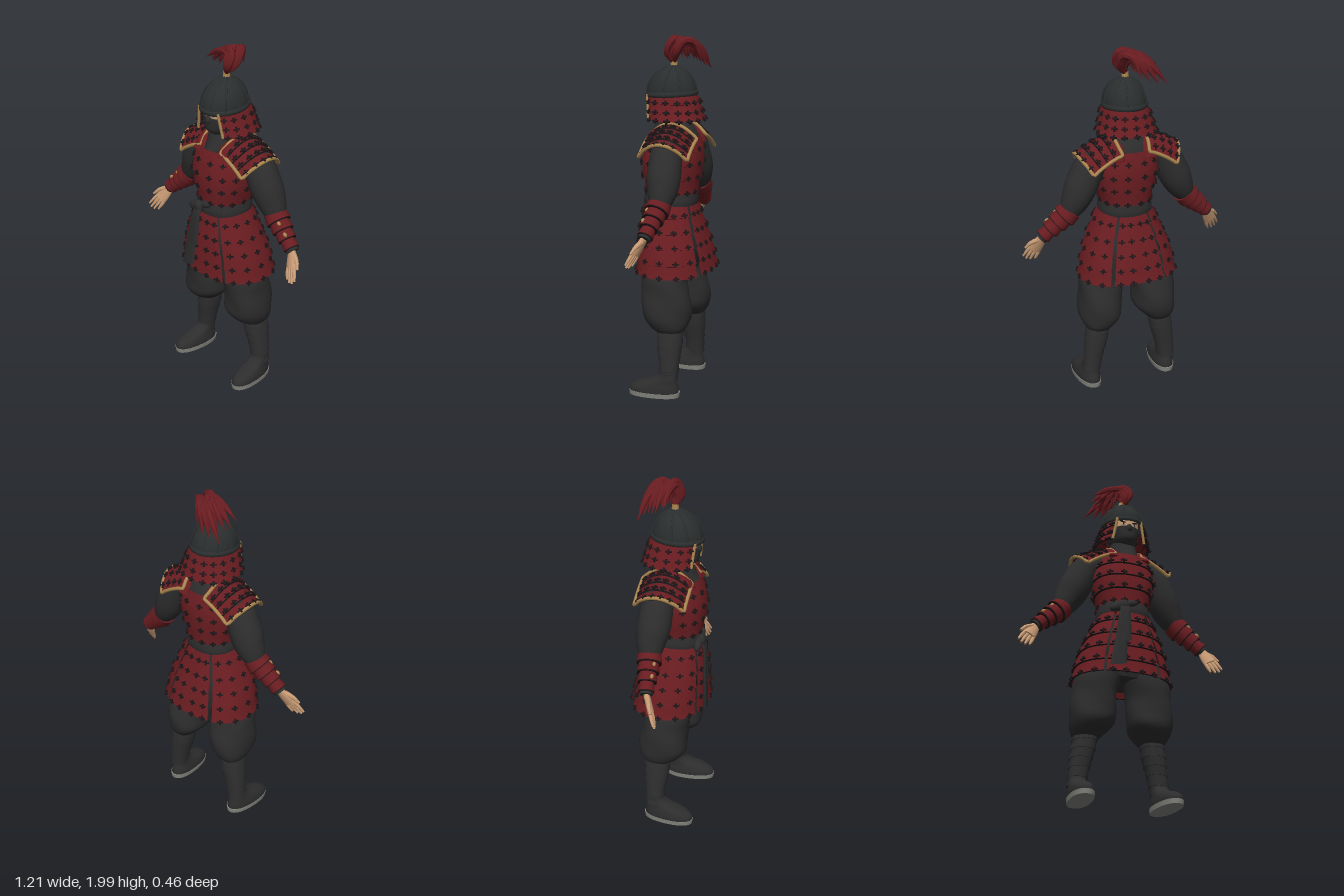
import * as THREE from 'three';
import { toCreasedNormals, mergeGeometries } from 'three/addons/utils/BufferGeometryUtils.js';

const V = (x, y, z) => new THREE.Vector3(x, y, z);
const clamp = THREE.MathUtils.clamp, lerp = THREE.MathUtils.lerp, TAU = Math.PI * 2, DEG = Math.PI / 180;

// Grid surface from a rule f(u, v) -> Vector3
function surf(f, nu, nv, crease = 0.75) {
  const pos = [], idx = [], w = nu + 1;
  for (let j = 0; j <= nv; j++) for (let i = 0; i <= nu; i++) pos.push(...f(i / nu, j / nv).toArray());
  for (let j = 0; j < nv; j++) for (let i = 0; i < nu; i++) {
    const p = j * w + i;
    idx.push(p, p + 1, p + w + 1, p, p + w + 1, p + w);
  }
  const g = new THREE.BufferGeometry();
  g.setAttribute('position', new THREE.Float32BufferAttribute(pos, 3));
  g.setIndex(idx);
  g.scale(100, 100, 100);
  return toCreasedNormals(g, crease).scale(0.01, 0.01, 0.01);
}

// Smooth interpolation through rows of [y, cx, cz, rx, rz]
function sample(rows, t) {
  const n = rows.length - 1, i = Math.min(Math.floor(t * n), n - 1), f = t * n - i;
  return rows[i].map((_, k) => {
    const [a, b, c, d] = [-1, 0, 1, 2].map(j => rows[clamp(i + j, 0, n)][k]);
    return b + 0.5 * f * (c - a + f * (2 * a - 5 * b + 4 * c - d + f * (3 * (b - c) + d - a)));
  });
}
// Point on a rounded cross-section; angle 0 is the front, 90 degrees is +x
function ring([y, cx, cz, rx, rz], a, lift = 0, e = 0.88) {
  const s = Math.sin(a), c = Math.cos(a);
  return V(cx + Math.sign(s) * Math.abs(s) ** e * (rx + lift), y, cz + Math.sign(c) * Math.abs(c) ** e * (rz + lift));
}
// Closed solid through rows, with optional cloth folds
function loft(rows, nv = 16, fold = 0, nu = 28) {
  return surf((u, v) => {
    const t = clamp((v * (nv + 2) - 1) / nv, 0, 1), r = sample(rows, t);
    const k = v === 0 || v === 1 ? 0 : 1 + fold * Math.sin(3 * u * TAU + r[0] * 22) * Math.sin(t * Math.PI);
    r[3] *= k; r[4] *= k;
    return ring(r, u * TAU);
  }, nu, nv + 2);
}
// Tapered tube along points; flat squashes one axis
function tube(pts, radii, nv = 14, nu = 10, flat = 1) {
  const curve = new THREE.CatmullRomCurve3(pts), fr = curve.computeFrenetFrames(nv);
  const rr = radii.map(r => [r]);
  return surf((u, v) => {
    const j = clamp(Math.round(v * (nv + 2)) - 1, 0, nv), t = j / nv;
    const r = v === 0 || v === 1 ? 0 : Math.max(0, sample(rr, t)[0]);
    return curve.getPointAt(t).addScaledVector(fr.normals[j], r * Math.cos(u * TAU))
      .addScaledVector(fr.binormals[j], r * flat * Math.sin(u * TAU));
  }, nu, nv + 2);
}

export function createModel() {
  const mat = (name, color) => Object.assign(new THREE.MeshStandardMaterial({ color, side: THREE.DoubleSide }), { name });
  const red = mat('red lacquer', 0x681c20), cloth = mat('black cloth', 0x2d2d2e), cord = mat('dark cord', 0x1d1517),
    gold = mat('gold trim', 0xa8854f), skin = mat('skin', 0xc79a74), sole = mat('grey sole', 0x85857f),
    iron = mat('dark iron', 0x2b2e2e), white = mat('eye white', 0xd8d2c8);
  const root = new THREE.Group(), body = new THREE.Group();
  body.name = 'warrior'; body.position.x = 0.02; root.add(body);
  const add = (name, geo, m) => { const o = new THREE.Mesh(geo, m); o.name = name; body.add(o); return o; };

  // Overlapping laced plates: P(u, v, lift), v runs from the lower edge up
  function plates(name, P, n, knots, nu = 24, lift = 0.012) {
    const shells = [], dark = [];
    for (let r = 0; r < n; r++) {
      shells.push(surf((u, w) => P(u, (r + w) / n, lift * (1 - w)), nu, 3));
      dark.push(surf((u, w) => P(u, (r - 0.06 * (1 - w)) / n, lift * w - 0.002), nu, 1));
      for (let k = 0; k < knots; k++) {
        const u = (k + 0.5) / knots, v = (r + 0.14) / n, p = P(u, v, lift);
        const tu = P(u + 0.01, v, lift).sub(p).normalize(), tv = P(u, v + 0.02, lift * 0.9).sub(p);
        const nn = tu.clone().cross(tv).normalize();
        const m = new THREE.Matrix4().makeBasis(tu, nn.clone().cross(tu), nn).setPosition(p);
        for (const [w, h] of [[0.036, 0.008], [0.01, 0.028]]) {
          const b = new THREE.BoxGeometry(w, h, 0.011).toNonIndexed().applyMatrix4(m);
          b.deleteAttribute('uv');
          dark.push(b);
        }
      }
    }
    add(name, mergeGeometries(shells), red);
    add(name + 'Lacing', mergeGeometries(dark), cord);
  }
  const arc = (rows, a0, a1) => (u, v, l) => ring(sample(rows, clamp(v, 0, 1)), lerp(a0, a1, u) * DEG, l);

  // Underclothes, collar
  add('undershirt', loft([[0.7, 0, 0, 0.17, 0.12], [0.85, 0, 0.01, 0.2, 0.15], [1, 0, 0.03, 0.16, 0.13],
    [1.12, 0, 0.025, 0.13, 0.12], [1.26, 0, 0.02, 0.155, 0.14], [1.4, 0, 0.01, 0.155, 0.135],
    [1.47, 0, 0, 0.12, 0.105], [1.53, 0, 0.01, 0.075, 0.08], [1.6, 0, 0.02, 0.06, 0.065]], 30), cloth);
  add('neckScarf', loft([[1.42, 0, 0.05, 0.06, 0.11], [1.47, 0, 0.03, 0.085, 0.1], [1.52, 0, 0.025, 0.078, 0.088],
    [1.56, 0, 0.03, 0.065, 0.075]], 10, 0.03), cloth);

  // Chest armour and hip skirt panels
  plates('chestArmour', arc([[1.13, 0, 0.025, 0.132, 0.135], [1.24, 0, 0.025, 0.162, 0.155], [1.34, 0, 0.018, 0.172, 0.16],
    [1.44, 0, 0.012, 0.135, 0.14]], 0, 360), 4, 14, 40);
  const hip = [[0.69, 0, 0, 0.275, 0.202], [0.82, 0, 0.01, 0.248, 0.188], [0.95, 0, 0.025, 0.2, 0.165], [1.08, 0, 0.03, 0.14, 0.135]];
  const back = [[0.7, 0, 0, 0.28, 0.21], [0.82, 0, 0.005, 0.25, 0.19], [0.95, 0, 0.02, 0.2, 0.165], [1.08, 0, 0.03, 0.14, 0.135]];
  plates('frontSkirtPanel', arc(hip, -29, 29), 5, 4, 14);
  plates('backSkirtPanel', arc(back, 152, 208), 5, 4, 14);
  for (const s of [1, -1]) plates('sideSkirtPanel', arc(hip, s > 0 ? 33 : 213, s > 0 ? 147 : 327), 5, 5, 20);

  // Belt, knot and hanging ends
  add('belt', loft([[1.06, 0, 0.03, 0.148, 0.145], [1.085, 0, 0.03, 0.15, 0.148], [1.12, 0, 0.03, 0.144, 0.143],
    [1.15, 0, 0.03, 0.138, 0.138]], 8), cloth);
  const blob = (name, x, y, z, a, b, c, m, rot = 0) => {
    const o = add(name, new THREE.SphereGeometry(1, 16, 10), m);
    o.position.set(x, y, z); o.scale.set(a, b, c); o.rotation.z = rot;
  };
  blob('beltKnot', -0.045, 1.095, 0.178, 0.034, 0.034, 0.027, cloth);
  blob('beltLoop', -0.085, 1.085, 0.172, 0.048, 0.027, 0.022, cloth, 0.5);
  blob('beltLoop', -0.005, 1.115, 0.17, 0.045, 0.022, 0.02, cloth, 0.3);
  for (const [x0, x1, y1, w, z1] of [[-0.05, -0.095, 0.72, 0.047, 0.222], [-0.035, -0.055, 0.86, 0.036, 0.218]])
    add('beltEnd', surf((u, v) => {
      const t = 1 - v, a = u * TAU, c = Math.cos(a);
      return V(lerp(x0, x1, t) + c * lerp(0.02, w, t), lerp(1.09, y1, t) + 0.01 * c * t,
        lerp(0.19, z1, Math.sqrt(t)) + 0.008 * Math.sin(a));
    }, 12, 10), cloth);

  // Head and face
  add('face', loft([[1.58, 0, 0.035, 0.075, 0.1], [1.64, 0, 0.035, 0.083, 0.108], [1.7, 0, 0.03, 0.085, 0.108]], 8), skin);
  add('mask', loft([[1.52, 0, 0.04, 0.045, 0.07], [1.55, 0, 0.045, 0.066, 0.1], [1.59, 0, 0.04, 0.08, 0.112],
    [1.625, 0, 0.037, 0.086, 0.117]], 10), cloth);
  blob('noseCover', 0, 1.615, 0.148, 0.018, 0.024, 0.016, cloth);
  for (const s of [1, -1]) {
    blob('eye', 0.033 * s, 1.641, 0.137, 0.014, 0.006, 0.006, white);
    blob('pupil', 0.033 * s, 1.641, 0.142, 0.005, 0.005, 0.003, cord);
    blob('eyebrow', 0.035 * s, 1.655, 0.138, 0.02, 0.004, 0.006, cord, 0.2 * s);
  }

  // Helmet bowl, rim, ribs and neck guard
  const dome = [[1.665, 0, 0.028, 0.118, 0.14], [1.71, 0, 0.028, 0.114, 0.134], [1.76, 0, 0.026, 0.096, 0.11],
    [1.8, 0, 0.02, 0.062, 0.07], [1.825, 0, 0.015, 0.02, 0.02]];
  add('helmetBowl', surf((u, v) => ring(sample(dome, v), u * TAU, 0, 1), 36, 16), iron);
  add('helmetRim', surf((u, v) => {
    const a = u * TAU, p = ring([1.672 - 0.008 * Math.cos(a), 0, 0.028, 0.119, 0.141], a, 0.007 * Math.sin(v * TAU), 1);
    p.y += 0.014 * Math.cos(v * TAU);
    return p;
  }, 40, 8), iron);
  for (let i = 0; i < 10; i++)
    add('helmetRib', tube([0, 0.25, 0.5, 0.75, 1].map(t => ring(sample(dome, t), (i + 0.5) / 10 * TAU, 0, 1)), [0.006, 0.005], 12, 6), iron);
  const guard = [[1.535, 0, 0, 0.152, 0.146], [1.6, 0, 0.012, 0.132, 0.14], [1.67, 0, 0.024, 0.112, 0.134]];
  const guardP = arc(guard, 34, 326);
  plates('neckGuard', guardP, 3, 13, 36);
  for (const u of [0, 1])
    add('neckGuardTrim', tube([0, 0.33, 0.66, 1].map(v => guardP(u, v, 0.008)), [0.008, 0.008], 8, 8), gold);

  // Plume
  add('plumeTie', new THREE.CylinderGeometry(0.017, 0.021, 0.034, 16).translate(0, 1.835, 0.015), gold);
  for (let i = 0; i < 22; i++) {
    const t = i / 21, j = Math.sin(i * 5.3), k = Math.cos(i * 3.7);
    const end = V(lerp(-0.175, -0.02, t) + 0.018 * j, lerp(1.79, 1.86, t) + 0.045 * (k + 1) * (1 - t), -0.075 + 0.075 * k);
    add('plumeStrand', tube([V(0.004 * j, 1.84, 0.015 + 0.004 * k), V(0.025 + 0.022 * j, 1.895, 0.012 + 0.03 * k),
      V(0.012 + 0.028 * j, 1.95 + 0.012 * j, -0.02 + 0.036 * k),
      V(lerp(-0.075, 0, t) + 0.01 * j, lerp(1.93, 1.965, t) + 0.012 * k, -0.055 + 0.055 * k), end],
    [0.008, 0.016, 0.02, 0.015, 0.001], 14, 7), red);
  }

  for (const s of [1, -1]) {
    // Shoulder strap and shoulder guard with trim
    add('shoulderStrap', tube([V(0.09 * s, 1.41, 0.145), V(0.09 * s, 1.465, 0.105), V(0.09 * s, 1.505, 0),
      V(0.09 * s, 1.46, -0.1), V(0.09 * s, 1.4, -0.13)], [0.035, 0.035], 14, 10, 0.35), red);
    const pad = (u, v, l) => {
      const q = 1 - 2 * u, t = 1 - v;
      return V(s * (0.095 + 0.2 * t - (0.015 + 0.04 * t) * q * q), 1.515 - 0.055 * t - 0.035 * t * t - 0.08 * q * q + l,
        -0.005 + 0.138 * q * s);
    };
    plates('shoulderGuard', pad, 4, 6, 18);
    const edge = [];
    for (let i = 0; i < 32; i++) {
      const t = (i % 8) / 8, side = i >> 3;
      edge.push(side === 0 ? pad(t, 0, 0.008) : side === 1 ? pad(1, t, 0.006) : side === 2 ? pad(1 - t, 1, 0.004) : pad(0, 1 - t, 0.006));
    }
    add('shoulderTrim', new THREE.TubeGeometry(new THREE.CatmullRomCurve3(edge, true), 80, 0.01, 8, true), gold);

    // Sleeve, layered bracer and cuff
    add('sleeve', tube([V(0.12 * s, 1.43, -0.015), V(0.205 * s, 1.38, -0.018), V(0.262 * s, 1.28, -0.022), V(0.305 * s, 1.19, -0.028),
      V(0.345 * s, 1.12, -0.025), V(0.37 * s, 1.085, -0.02)], [0.07, 0.083, 0.09, 0.09, 0.073, 0.045], 24, 20), cloth);
    const A = V(0.335 * s, 1.125, -0.026), B = V(0.49 * s, 0.982, 0), at = t => A.clone().lerp(B, t);
    for (let i = 0; i < 4; i++) {
      const r = lerp(0.066, 0.041, i / 3);
      add('bracerPlate', tube([at(i / 4 - 0.02), at((i + 1) / 4)], [r - 0.004, r + 0.003], 4, 18), red);
      add('bracerStrap', tube([at((i + 1) / 4 - 0.03), at((i + 1) / 4 + 0.025)], [r, r + 0.001], 2, 18), cord);
    }
    for (const t of [0.3, 0.62]) {
      const p = at(t);
      blob('bracerBuckle', p.x + 0.03 * s, p.y + 0.025, p.z + 0.042 - t * 0.015, 0.014, 0.01, 0.01, gold, -0.7 * s);
    }
    add('cuff', tube([at(0.98), at(1.09)], [0.037, 0.035], 3, 16), cloth);

    // Hand: palm, four fingers and thumb
    const W = V(0.497 * s, 0.972, 0.003), d = V((s > 0 ? 0.062 : 0.086) * s, -0.145, 0.07), w = V(0.85 * s, 0.42, 0.1).normalize();
    const n = d.clone().cross(w).normalize();
    add('palm', surf((u, v) => {
      const k = v === 0 || v === 1 ? 0 : 1, a = u * TAU, t = clamp((v * 10 - 1) / 8, 0, 1);
      return W.clone().addScaledVector(d, t * 0.56).addScaledVector(w, k * Math.cos(a) * lerp(0.025, 0.038, Math.sin(t * 1.7)))
        .addScaledVector(n, k * Math.sin(a) * 0.017);
    }, 16, 10), skin);
    for (let i = 0; i < 4; i++) {
      const o = (i - 1.5) * 0.018, len = [0.9, 1, 1.03, 0.97][i];
      const at2 = (t, f) => W.clone().addScaledVector(d, t).addScaledVector(w, o * f);
      add('finger', tube([at2(0.5, 1), at2(0.75 * len, 1.15), at2(len, 1.25)], [0.0105, 0.01, 0.006], 8, 8), skin);
    }
    const th = (t, o) => W.clone().addScaledVector(d, t).addScaledVector(w, o).addScaledVector(n, -0.004);
    add('thumb', tube([th(0.12, 0.015), th(0.34, 0.04), th(0.6, 0.052)], [0.014, 0.012, 0.007], 8, 8), skin);

    // Baggy trousers and wrapped shins
    add('trouserLeg', loft([[0.37, 0.188 * s, -0.025, 0.066, 0.075], [0.4, 0.182 * s, -0.015, 0.09, 0.108], [0.45, 0.168 * s, -0.003, 0.118, 0.134],
      [0.52, 0.165 * s, 0, 0.123, 0.137], [0.6, 0.16 * s, 0.008, 0.121, 0.13], [0.68, 0.148 * s, 0.02, 0.125, 0.125],
      [0.8, 0.11 * s, 0.01, 0.12, 0.125]], 28, 0.035), cloth);
    const shin = [[0.1, 0.236 * s, -0.035, 0.047, 0.048], [0.2, 0.222 * s, -0.035, 0.053, 0.055],
      [0.3, 0.204 * s, -0.032, 0.063, 0.068], [0.39, 0.19 * s, -0.03, 0.064, 0.07]];
    for (let i = 0; i < 6; i++) {
      const lo = sample(shin, i / 6), hi = sample(shin, (i + 1) / 6);
      lo[3] += 0.004; lo[4] += 0.004; hi[3] -= 0.001; hi[4] -= 0.001;
      add('shinWrap', loft([lo, hi], 2), cloth);
    }

    // Shoe and sole, toes turned slightly out
    const foot = [[0.024, 0, 0.05, 0.062, 0.142], [0.05, 0, 0.048, 0.061, 0.138], [0.078, 0, 0.03, 0.055, 0.112],
      [0.1, 0, -0.005, 0.05, 0.072], [0.13, 0, -0.03, 0.048, 0.05], [0.16, 0, -0.035, 0.05, 0.051]];
    for (const [name, g, m] of [['shoe', loft(foot, 16), cloth],
      ['sole', loft([[0, 0, 0.048, 0.062, 0.144], [0.026, 0, 0.048, 0.065, 0.147]], 2), sole]]) {
      const o = add(name, g, m);
      o.position.x = 0.236 * s; o.rotation.y = 0.08 * s;
    }
  }
  return root;
}
